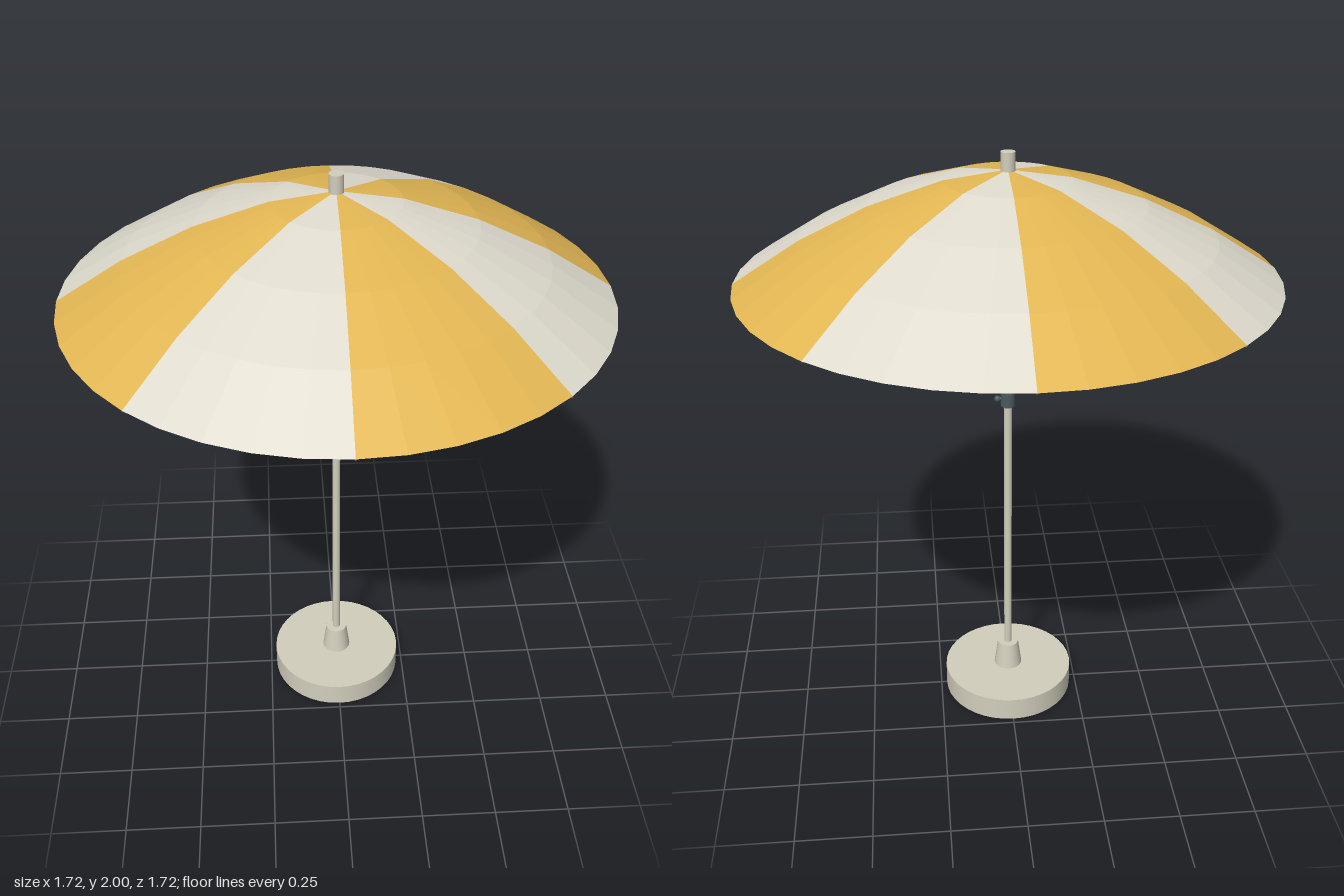
import * as THREE from 'three';

const mat = (name, color, extra = {}) => {
  const m = new THREE.MeshStandardMaterial({ color, ...extra });
  m.name = name;
  return m;
};

export function createModel() {
  const cloth = { side: THREE.DoubleSide, flatShading: true };
  const yellow = mat('yellow cloth', 0xe2b653, cloth);
  const cream = mat('cream cloth', 0xdedacd, cloth);
  const stone = mat('pale stone', 0xd2cebd);
  const slate = mat('slate metal', 0x4c5a60);
  const wire = mat('dark wire', 0x4a4a48);

  const model = new THREE.Group();
  model.name = 'parasol';
  const add = (name, geometry, material, parent = model) => {
    const mesh = new THREE.Mesh(geometry, material);
    mesh.name = name;
    parent.add(mesh);
    return mesh;
  };
  // Upright round part between two heights
  const round = (name, rTop, rBottom, y0, y1, material, sides = 24) => {
    const mesh = add(name, new THREE.CylinderGeometry(rTop, rBottom, y1 - y0, sides), material);
    mesh.position.y = (y0 + y1) / 2;
    return mesh;
  };
  // Thin straight rod between two points
  const up = new THREE.Vector3(0, 1, 0);
  const rod = (name, a, b, radius, parent) => {
    const d = b.clone().sub(a);
    const mesh = add(name, new THREE.CylinderGeometry(radius, radius, d.length(), 6), wire, parent);
    mesh.position.copy(a).add(b).multiplyScalar(0.5);
    mesh.quaternion.setFromUnitVectors(up, d.normalize());
  };

  // Weighted base, neck and pole
  round('base', 0.23, 0.23, 0, 0.085, stone, 40);
  round('baseNeck', 0.037, 0.05, 0.085, 0.18, stone);
  round('pole', 0.0135, 0.0135, 0.1, 1.95, stone, 16);
  round('runner', 0.018, 0.018, 1.5, 1.535, stone, 16);
  round('finial', 0.023, 0.023, 1.93, 2.0, stone, 16);

  // Clamp with side knob
  round('clamp', 0.024, 0.024, 1.15, 1.2, slate, 16);
  const stem = add('knobStem', new THREE.CylinderGeometry(0.006, 0.006, 0.03, 10), slate);
  stem.rotation.z = Math.PI / 2;
  stem.position.set(0.027, 1.176, 0);
  const knob = add('knob', new THREE.SphereGeometry(0.011, 12, 8), slate);
  knob.position.set(0.035, 1.176, 0);

  // Canopy: eight cloth panels with alternating colours
  const profile = [[0.86, 1.605], [0.65, 1.737], [0.43, 1.842], [0.2, 1.916], [0.001, 1.945]]
    .map(([r, y]) => new THREE.Vector2(r, y));
  const canopy = new THREE.Group();
  canopy.name = 'canopy';
  const frame = new THREE.Group();
  frame.name = 'frame';
  model.add(canopy, frame);

  for (let i = 0; i < 8; i++) {
    const angle = i * Math.PI / 4;
    add('canopyPanel', new THREE.LatheGeometry(profile, 5, angle, Math.PI / 4), i % 2 ? cream : yellow, canopy);

    // Rib under each seam, and the stretcher that holds it
    const spoke = new THREE.Group();
    spoke.name = 'spoke';
    spoke.rotation.y = angle;
    frame.add(spoke);
    const ribPoints = profile.map(p => new THREE.Vector3(0, p.y - 0.005, p.x));
    for (let j = 0; j < 4; j++) rod('rib', ribPoints[j], ribPoints[j + 1], 0.004, spoke);
    rod('stretcher', new THREE.Vector3(0, 1.525, 0.015), new THREE.Vector3(0, 1.836, 0.43), 0.003, spoke);
  }
  return model;
}
